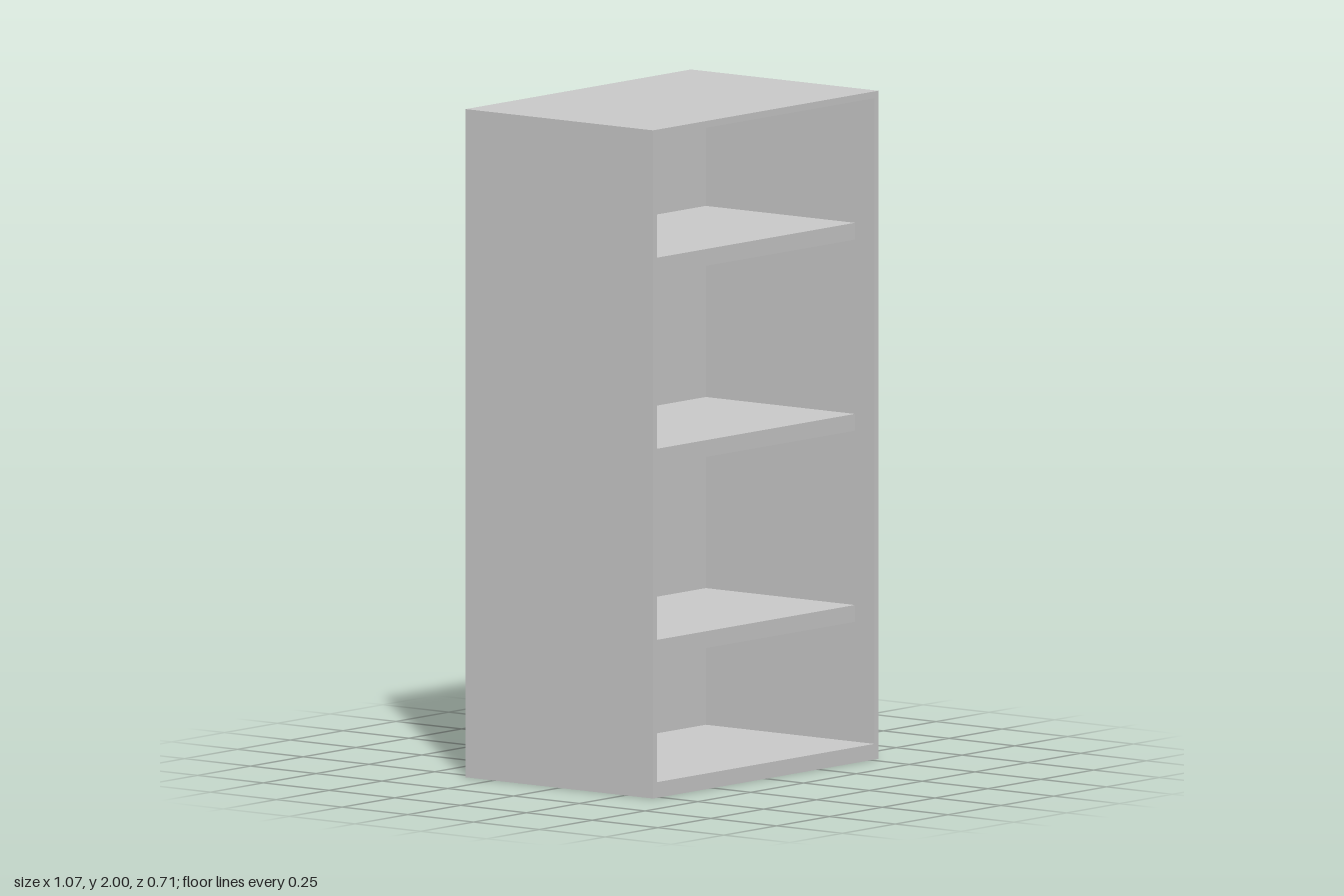
import * as THREE from 'three';

const W = 1.066, H = 2, D = 0.712;          // outer size
const SIDE = 0.018, TOP = 0.02, BASE = 0.047, BACK = 0.071; // panel thicknesses

export function createModel() {
  const group = new THREE.Group();
  const material = new THREE.MeshStandardMaterial({ color: 0xcccccc, flatShading: true });

  // Box panel given by its lower and upper corners
  const panel = (name, [x0, y0, z0], [x1, y1, z1]) => {
    const mesh = new THREE.Mesh(new THREE.BoxGeometry(x1 - x0, y1 - y0, z1 - z0), material);
    mesh.position.set((x0 + x1) / 2, (y0 + y1) / 2, (z0 + z1) / 2);
    mesh.name = name;
    group.add(mesh);
  };

  const inner = W / 2 - SIDE;
  const backFace = -D / 2 + BACK;

  // Open-fronted case: one extruded frame around a rectangular opening
  const outline = new THREE.Shape([
    new THREE.Vector2(-W / 2, 0), new THREE.Vector2(W / 2, 0),
    new THREE.Vector2(W / 2, H), new THREE.Vector2(-W / 2, H),
  ]);
  outline.holes.push(new THREE.Path([
    new THREE.Vector2(-inner, BASE), new THREE.Vector2(-inner, H - TOP),
    new THREE.Vector2(inner, H - TOP), new THREE.Vector2(inner, BASE),
  ]));
  const frame = new THREE.Mesh(
    new THREE.ExtrudeGeometry(outline, { depth: D, bevelEnabled: false }), material);
  frame.position.z = -D / 2;
  frame.name = 'caseFrame';
  group.add(frame);

  // Back panel closing the frame
  panel('backPanel', [-inner, BASE, -D / 2], [inner, H - TOP, backFace]);

  // Three evenly spaced shelves, set back from the front edge
  for (let i = 0; i < 3; i++) {
    const y = 0.406 + i * 0.572;
    panel(`shelf${i + 1}`, [-inner, y, backFace], [inner, y + 0.05, 0.282]);
  }

  return group;
}
